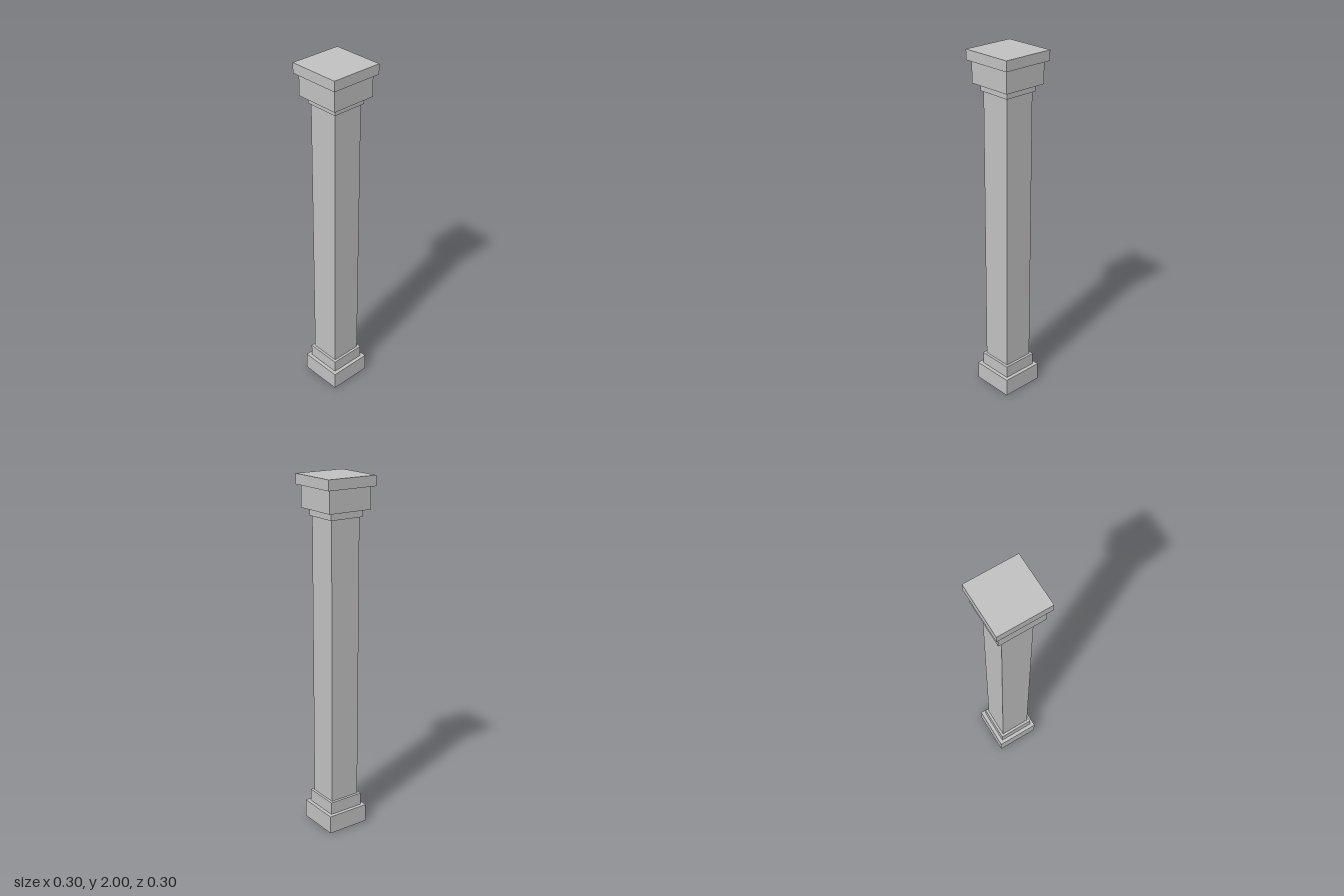
import * as THREE from 'three';

export function createModel() {
  const group = new THREE.Group();
  group.name = 'squareColumn';

  const stone = new THREE.MeshStandardMaterial({ color: 0xc0c0c0 });
  stone.name = 'grey stone';

  // Stacked square blocks: name, width, bottom, top
  const blocks = [
    ['plinth', 0.25, 0, 0.105],
    ['baseStep', 0.207, 0.105, 0.177],
    ['shaft', 0.177, 0.177, 1.783],
    ['neckBand', 0.198, 1.783, 1.823],
    ['capitalBlock', 0.26, 1.823, 1.944],
    ['capitalSlab', 0.3, 1.944, 2],
  ];

  for (const [name, width, bottom, top] of blocks) {
    const mesh = new THREE.Mesh(new THREE.BoxGeometry(width, top - bottom, width), stone);
    mesh.name = name;
    mesh.position.y = (bottom + top) / 2;
    group.add(mesh);
  }
  return group;
}
